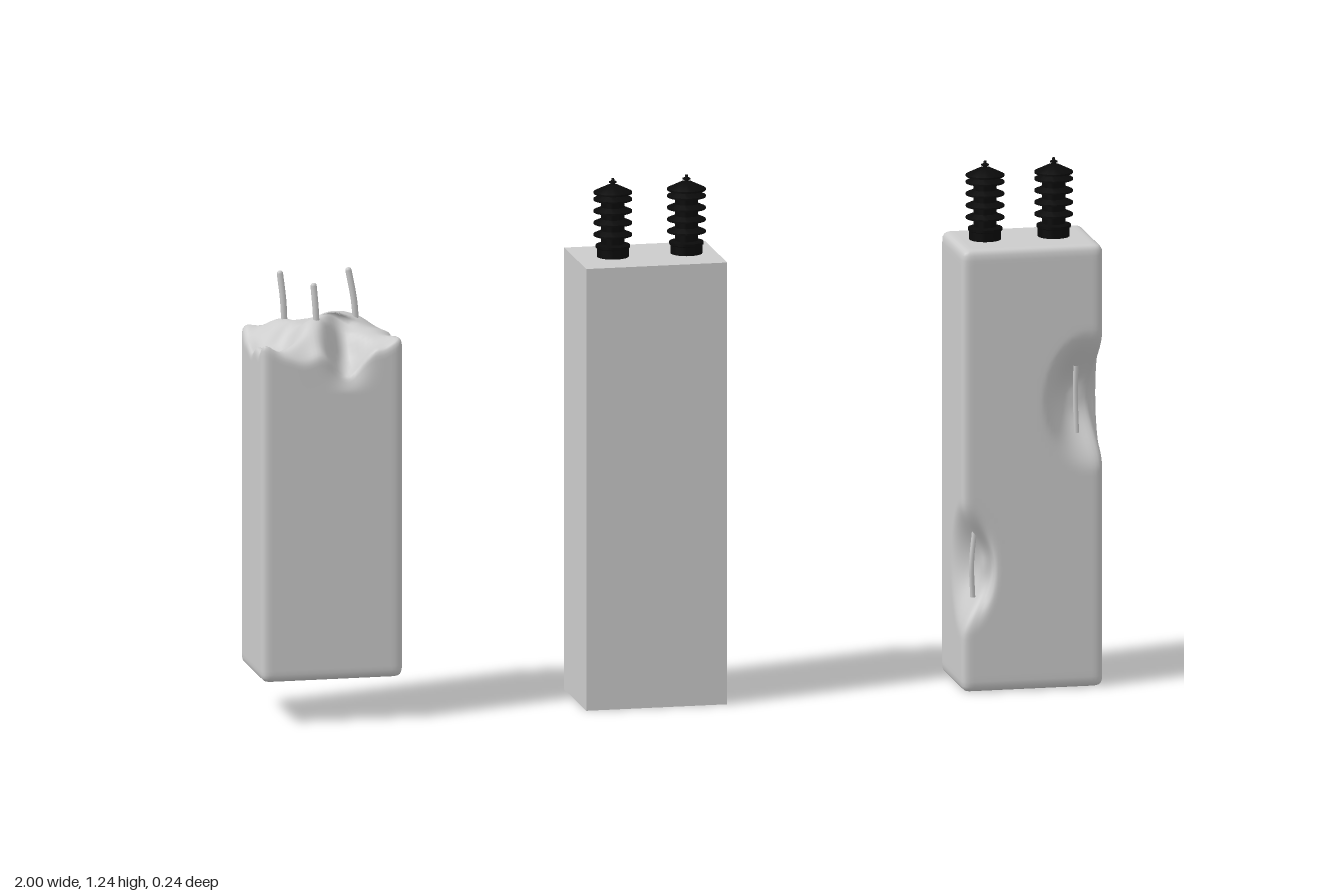
import * as THREE from 'three';
import { mergeVertices, toCreasedNormals } from 'three/addons/utils/BufferGeometryUtils.js';

const W = 0.335, D = 0.24;
const grey = new THREE.MeshStandardMaterial({ color: 0xcccccc });
const black = new THREE.MeshStandardMaterial({ color: 0x0a0a0a });

function add(parent, name, geometry, x, y, z, material = grey) {
  const mesh = new THREE.Mesh(geometry, material);
  mesh.name = name;
  mesh.position.set(x, y, z);
  parent.add(mesh);
  return mesh;
}

// Finely divided box with rounded edges; deform moves each vertex (y from 0 at the foot)
function softBox(height, deform, radius = 0.018) {
  let g = new THREE.BoxGeometry(W, height, D, 36, 84, 28);
  g.deleteAttribute('uv');
  g.deleteAttribute('normal');
  g = mergeVertices(g);
  const half = new THREE.Vector3(W / 2 - radius, height / 2 - radius, D / 2 - radius);
  const low = half.clone().negate();
  const p = new THREE.Vector3(), core = new THREE.Vector3();
  const pos = g.attributes.position;
  for (let i = 0; i < pos.count; i++) {
    p.fromBufferAttribute(pos, i);
    core.copy(p).clamp(low, half);
    p.sub(core).setLength(radius).add(core);
    p.y += height / 2;
    deform(p);
    pos.setXYZ(i, p.x, p.y, p.z);
  }
  g.computeVertexNormals();
  return g;
}

// Thin, slightly bent rod through a few points
function rod(points, r = 0.006) {
  const curve = new THREE.CatmullRomCurve3(points.map(q => new THREE.Vector3(...q)));
  return new THREE.TubeGeometry(curve, 8, r, 8);
}

// Ribbed terminal, turned from one profile
function insulatorGeometry() {
  const pts = [[0, 0], [0.037, 0], [0.037, 0.02], [0.04, 0.022], [0.04, 0.028], [0.027, 0.031]];
  for (let i = 0; i < 4; i++) {
    const y = 0.05 + i * 0.028;
    pts.push([0.027, y - 0.002], [0.045, y], [0.045, y + 0.004], [0.027, y + 0.012]);
  }
  pts.push([0.027, 0.148], [0.045, 0.15], [0.045, 0.154], [0.012, 0.17],
    [0.005, 0.171], [0.005, 0.174], [0.009, 0.175], [0.009, 0.178], [0.004, 0.18], [0.003, 0.186], [0, 0.186]);
  const g = new THREE.LatheGeometry(pts.map(q => new THREE.Vector2(...q)), 28);
  return toCreasedNormals(g, 0.5);
}

function addInsulators(parent, xs) {
  const g = insulatorGeometry();
  xs.forEach(x => add(parent, 'insulator', g, x, 1.05, -0.003, black));
}

function unit(parent, name, x, y) {
  const g = new THREE.Group();
  g.name = name;
  g.position.set(x, y, 0);
  parent.add(g);
  return g;
}

export function createModel() {
  const model = new THREE.Group();
  model.name = 'capacitors';

  // Intact unit
  const intact = unit(model, 'intactCapacitor', -0.0625, 0);
  add(intact, 'case', new THREE.BoxGeometry(W, 1.05, D), 0, 0.525, 0);
  addInsulators(intact, [-0.0775, 0.0975]);

  // Dented unit: centre, reach and push of each dent
  const dents = [
    { c: [0.135, 0.68, 0.12], r: [0.115, 0.17, 0.1], push: [-0.024, 0, -0.06] },
    { c: [-0.1675, 0.29, 0.11], r: [0.09, 0.16, 0.12], push: [0.055, 0, -0.03] },
    { c: [0.028, 0.815, -0.12], r: [0.09, 0.11, 0.1], push: [0, 0.01, 0.062] },
  ];
  const dented = unit(model, 'dentedCapacitor', 0.8325, 0);
  add(dented, 'dentedCase', softBox(1.05, p => {
    const q = p.toArray();
    for (const { c, r, push } of dents) {
      const d = Math.hypot(...q.map((v, k) => (v - c[k]) / r[k]));
      const w = 1 - THREE.MathUtils.smoothstep(d, 0.12, 1);
      p.x += push[0] * w;
      p.y += push[1] * w;
      p.z += push[2] * w;
    }
  }), 0, 0, 0);
  addInsulators(dented, [-0.0875, 0.0755]);
  add(dented, 'exposedRod', rod([[0.11, 0.6, 0.088], [0.108, 0.68, 0.085], [0.108, 0.76, 0.09]]), 0, 0, 0);
  add(dented, 'exposedRod', rod([[-0.136, 0.22, 0.085], [-0.14, 0.3, 0.09], [-0.132, 0.38, 0.086]]), 0, 0, 0);
  add(dented, 'exposedRod', rod([[0.03, 0.76, -0.088], [0.026, 0.82, -0.085], [0.028, 0.88, -0.092]]), 0, 0, 0);

  // Torn unit: lumps and hollows across the top as x, z, reach, height
  const lumps = [
    [-0.03, 0.03, 0.085, 0.055], [0.08, -0.03, 0.09, 0.045], [-0.075, -0.07, 0.075, 0.035],
    [0.015, -0.04, 0.06, 0.035], [-0.11, 0.04, 0.05, -0.03], [0.04, 0.1, 0.06, -0.07],
    [0.0, -0.115, 0.05, -0.045], [0.15, 0.07, 0.06, 0.012], [-0.15, -0.02, 0.05, -0.02],
    [0.13, -0.1, 0.05, -0.03], [-0.165, 0.12, 0.045, 0.022], [-0.165, -0.12, 0.045, 0.022],
    [0.165, 0.12, 0.045, 0.022], [-0.06, 0.12, 0.05, -0.025],
  ];
  const rise = (x, z) => lumps.reduce((sum, [cx, cz, r, h]) => {
    const d = Math.hypot(x - cx, z - cz) / r;
    return sum + h * (1 - THREE.MathUtils.smoothstep(d, 0, 1.25));
  }, 0) + 0.005 * Math.sin(x * 48 + 2 * Math.sin(z * 40));
  const torn = unit(model, 'tornCapacitor', -0.8325, 0.1);
  add(torn, 'tornCase', softBox(0.785, p => {
    const w = THREE.MathUtils.smoothstep(p.y, 0.64, 0.785);
    p.y += w * rise(p.x, p.z);
    // Pinch the front wall inward below the notch
    const n = Math.exp(-(((p.x - 0.04) / 0.035) ** 2));
    if (p.z > 0) p.z -= 0.03 * n * THREE.MathUtils.smoothstep(p.y, 0.68, 0.76);
  }), 0, 0, 0);

  // Broken leads standing out of the torn top
  [
    [-0.073, -0.07, 0.93, -0.01], [-0.02, 0.035, 0.92, -0.006], [0.088, -0.025, 0.94, -0.018],
  ].forEach(([x, z, top, lean]) => {
    const mid = (0.79 + top) / 2;
    const g = rod([[x, 0.76, z], [x + lean * 0.3, mid, z], [x + lean, top, z - 0.006]], 0.0075);
    add(torn, 'brokenLead', g, 0, 0, 0);
    add(torn, 'leadTip', new THREE.SphereGeometry(0.0075, 8, 6), x + lean, top, z - 0.006);
  });
  return model;
}
